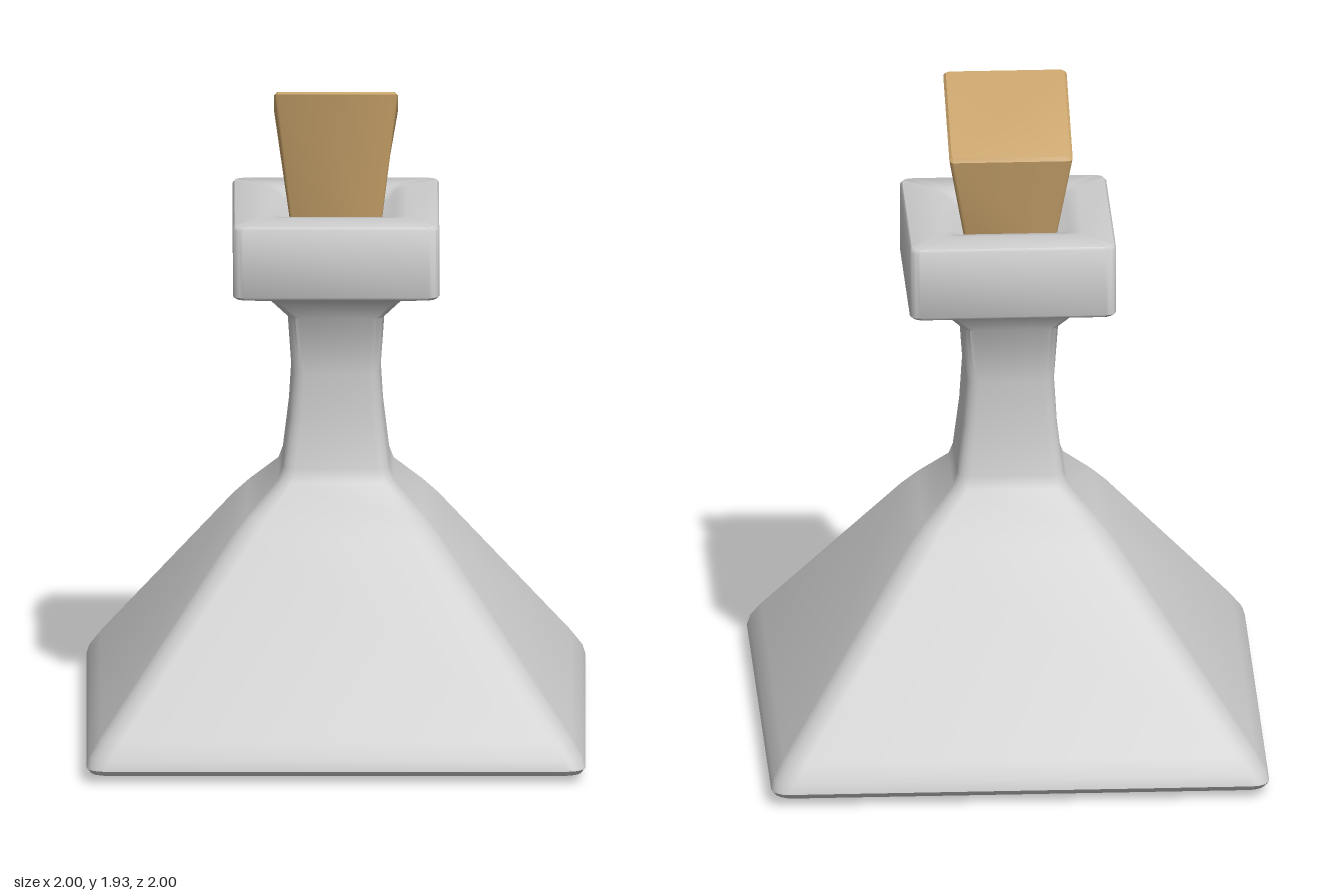
import * as THREE from 'three';
import { toCreasedNormals } from 'three/addons/utils/BufferGeometryUtils.js';

const ARC = 5; // points on each rounded corner

// Diamond-shaped loop: four rounded corners on the x and z axes, tips at distance reach
function diamondLoop(reach, radius) {
  const r = Math.min(radius, reach * 0.3);
  const points = [];
  for (let c = 0; c < 4; c++) {
    const axis = c * Math.PI / 2;
    for (let i = 0; i < ARC; i++) {
      const a = axis + (i / (ARC - 1) - 0.5) * Math.PI / 2;
      points.push([
        Math.cos(axis) * (reach - r) + Math.cos(a) * r,
        Math.sin(axis) * (reach - r) + Math.sin(a) * r,
      ]);
    }
  }
  return points;
}

// Skin a stack of loops, each [reach, height, corner radius, slant of the loop]
function loft(sections, crease) {
  const n = ARC * 4;
  const position = [];
  const index = [];
  sections.forEach(([reach, y, radius, slant = 0], j) => {
    for (const [x, z] of diamondLoop(reach, radius)) position.push(x, y + slant * (z - x), z);
    if (j === 0) return;
    for (let i = 0; i < n; i++) {
      const k = (i + 1) % n;
      const a = (j - 1) * n + i, b = (j - 1) * n + k;
      const c = j * n + i, d = j * n + k;
      if (reach > 0) index.push(a, c, d);
      if (sections[j - 1][0] > 0) index.push(a, d, b);
    }
  });
  const geometry = new THREE.BufferGeometry();
  geometry.setAttribute('position', new THREE.Float32BufferAttribute(position, 3));
  geometry.setIndex(index);
  return toCreasedNormals(geometry, crease);
}

export function createModel() {
  const model = new THREE.Group();
  const add = (name, geometry, color) => {
    const mesh = new THREE.Mesh(geometry, new THREE.MeshStandardMaterial({ color }));
    mesh.name = name;
    model.add(mesh);
  };

  // Flask: bulging underside, pyramid body, waisted neck, square collar
  add('flask', loft([
    [0, 0, 0.05],
    [0.5, 0.004, 0.05],
    [0.95, 0.018, 0.05],
    [0.985, 0.025, 0.05],
    [1, 0.04, 0.05],
    [0.985, 0.07, 0.06],
    [0.94, 0.118, 0.06],
    [0.4, 0.625, 0.06],
    [0.34, 0.675, 0.05],
    [0.22, 0.762, 0.04],
    [0.203, 0.8, 0.035],
    [0.178, 0.95, 0.035],
    [0.167, 1.08, 0.035],
    [0.183, 1.245, 0.035],
    [0.26, 1.31, 0.035],
    [0.4, 1.338, 0.03],
    [0.41, 1.346, 0.03],
    [0.41, 1.548, 0.03],
    [0.402, 1.556, 0.03],
    [0.28, 1.563, 0.03],
    [0.23, 1.556, 0.03],
    [0.2, 1.535, 0.03],
    [0, 1.535, 0.03],
  ], 0.8), 0xcccccc);

  // Cork: widens upward and ends in a slanted cut
  const slant = 0.286;
  add('cork', loft([
    [0, 1.5, 0.01],
    [0.178, 1.5, 0.01],
    [0.248, 1.852, 0.012, slant],
    [0.238, 1.861, 0.012, slant],
    [0, 1.861, 0.012, slant],
  ], 0.6), 0xc8a26a);

  return model;
}
